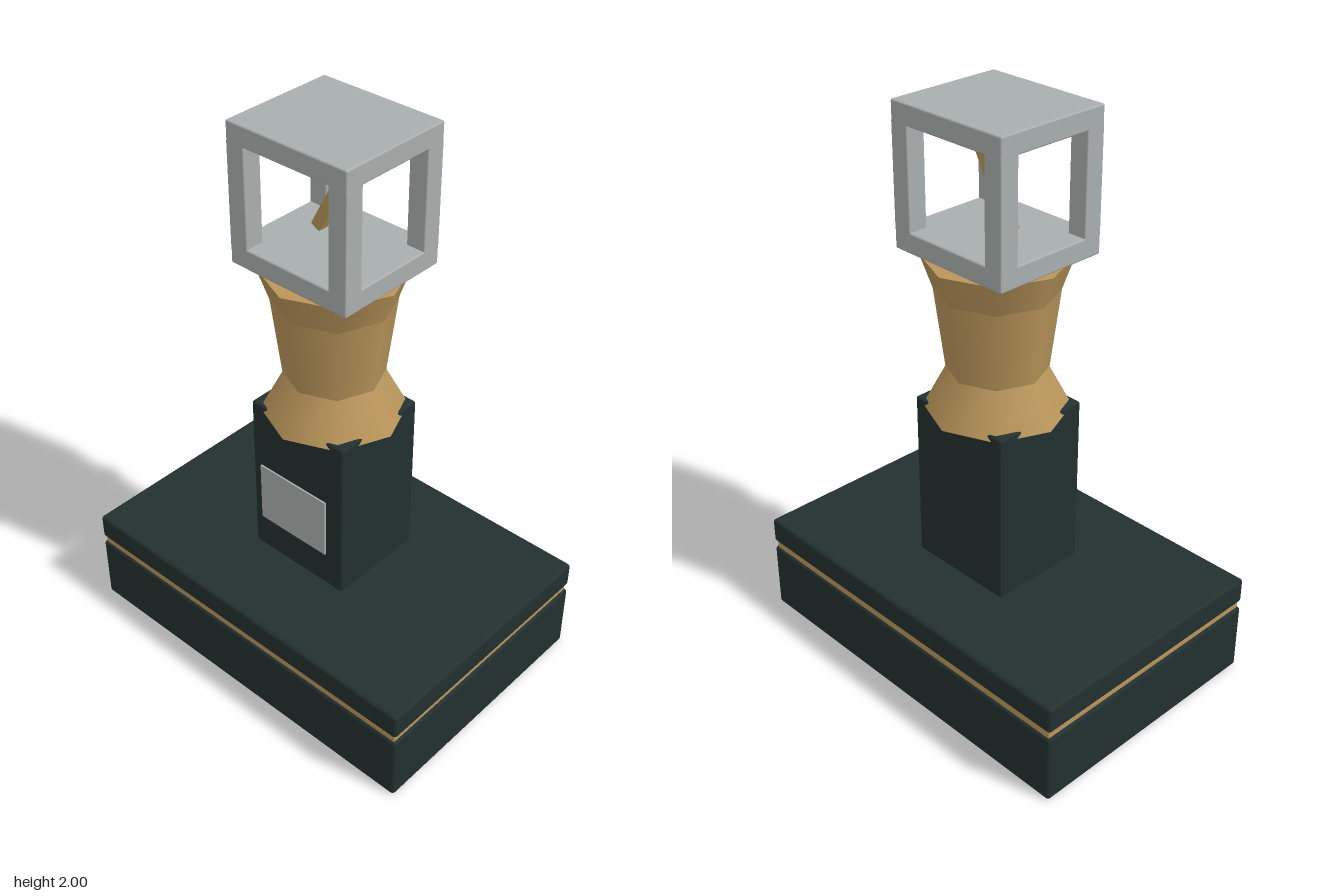
import * as THREE from 'three';
import { RoundedBoxGeometry } from 'three/addons/geometries/RoundedBoxGeometry.js';

const mat = (name, color) => {
  const m = new THREE.MeshStandardMaterial({ color });
  m.name = name;
  return m;
};

export function createModel() {
  const group = new THREE.Group();
  const dark = mat('dark stone', 0x22302f);
  const gold = mat('gold', 0xb9955a);
  const silver = mat('silver', 0xa9afae);
  const axisZ = -0.015; // the column stands slightly behind the base centre

  const add = (name, geometry, material, x, y, z, parent = group) => {
    const mesh = new THREE.Mesh(geometry, material);
    mesh.name = name;
    mesh.position.set(x, y, z);
    parent.add(mesh);
    return mesh;
  };
  // box with softened edges, placed between two heights
  const block = (name, w, d, y0, y1, r, material, x = 0, z = 0, parent = group) =>
    add(name, new RoundedBoxGeometry(w, y1 - y0, d, 2, r), material, x, (y0 + y1) / 2, z, parent);

  // stepped base with an inlaid band
  block('baseLower', 1.41, 0.947, 0, 0.252, 0.012, dark);
  block('baseBand', 1.39, 0.931, 0.245, 0.285, 0.004, gold);
  block('baseUpper', 1.41, 0.947, 0.277, 0.372, 0.012, dark);

  // pillar and its name plate
  block('pillar', 0.405, 0.366, 0.36, 0.985, 0.008, dark, 0, -0.013);
  add('plate', new THREE.BoxGeometry(0.295, 0.228, 0.006), silver, -0.003, 0.635, 0.188);

  // eight-sided waisted stem: foot, body and collar
  const stem = [
    ['stemFoot', 0.965, 0.247, 1.11, 0.17],
    ['stemBody', 1.11, 0.17, 1.39, 0.205],
    ['stemCollar', 1.39, 0.205, 1.505, 0.245],
  ];
  for (const [name, y0, r0, y1, r1] of stem) {
    add(name, new THREE.CylinderGeometry(r1, r0, y1 - y0, 8), gold, 0, (y0 + y1) / 2, axisZ);
  }

  // open cage: two slabs and four posts
  const cage = new THREE.Group();
  cage.name = 'cage';
  cage.position.z = axisZ;
  group.add(cage);
  const w = 0.475, d = 0.426, t = 0.07;
  block('cageFloor', w, d, 1.518, 1.588, 0.006, silver, 0, 0, cage);
  block('cageRoof', w, d, 1.93, 2, 0.006, silver, 0, 0, cage);
  for (const sx of [-1, 1]) {
    for (const sz of [-1, 1]) {
      block('cagePost', t, t, 1.58, 1.938, 0.004, silver, sx * (w - t) / 2, sz * (d - t) / 2, cage);
    }
  }

  // slanted rod inside the cage
  const rod = block('rod', 0.04, 0.042, 1.595, 1.935, 0.006, gold, 0, -0.03);
  rod.rotation.z = -0.485;

  return group;
}
